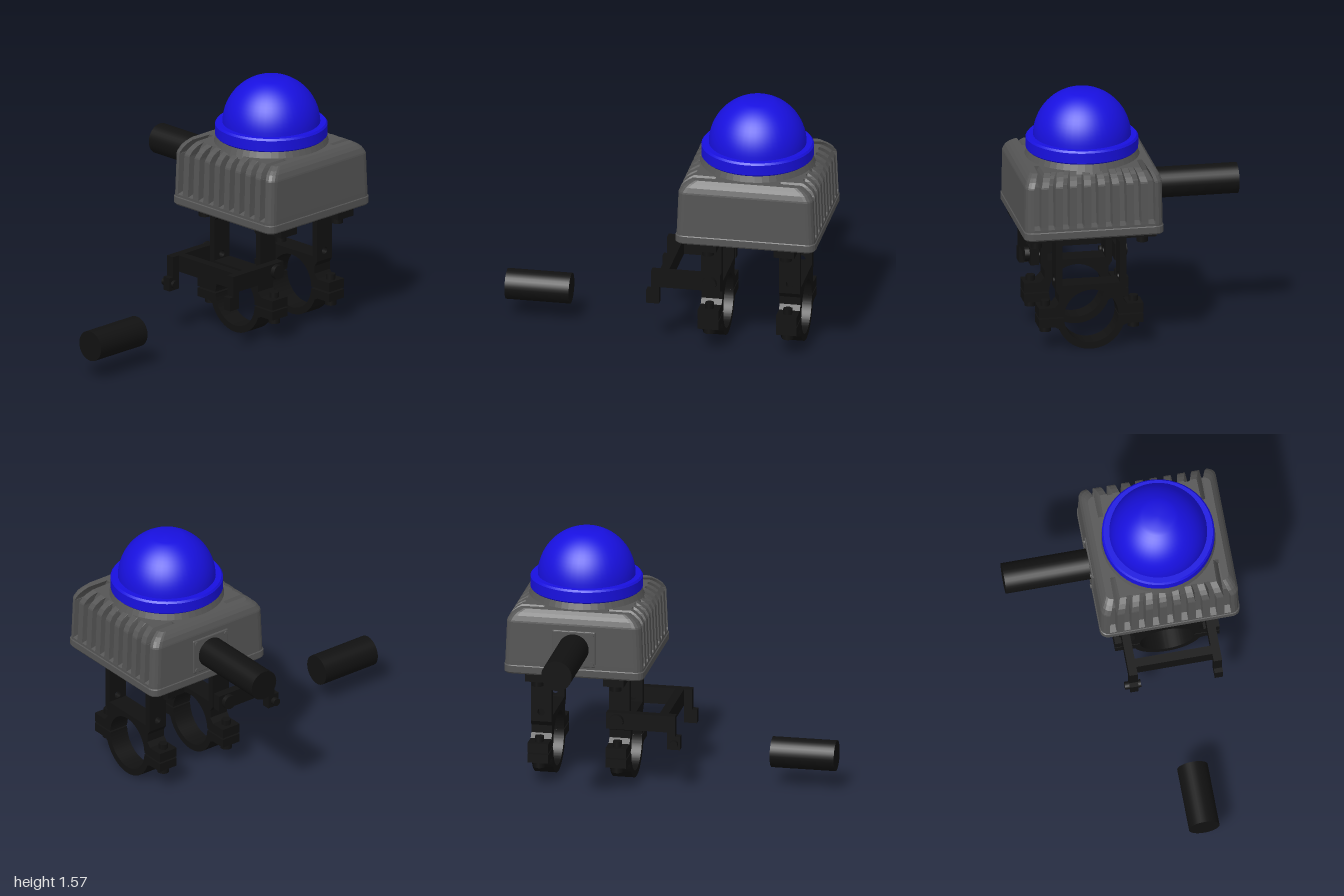
import * as THREE from 'three';
import { toCreasedNormals } from 'three/addons/utils/BufferGeometryUtils.js';
import { RoundedBoxGeometry } from 'three/addons/geometries/RoundedBoxGeometry.js';

const CX = 0.56, CZ = 0.265; // vertical axis of the housing and dome
const grey = new THREE.MeshStandardMaterial({ color: 0x555555, flatShading: true });
const black = new THREE.MeshStandardMaterial({ color: 0x111111 });
const blue = new THREE.MeshStandardMaterial({ color: 0x1810e0 });

function add(parent, name, geometry, material, x = 0, y = 0, z = 0) {
  const mesh = new THREE.Mesh(geometry, material);
  mesh.name = name;
  mesh.position.set(x, y, z);
  parent.add(mesh);
  return mesh;
}

const box = (parent, name, x0, x1, y0, y1, z0, z1, mat = black) =>
  add(parent, name, new THREE.BoxGeometry(x1 - x0, y1 - y0, z1 - z0), mat, (x0 + x1) / 2, (y0 + y1) / 2, (z0 + z1) / 2);

function rod(parent, name, axis, r, length, x, y, z, sides = 24, mat = black) {
  const g = new THREE.CylinderGeometry(r, r, length, sides);
  if (axis === 'x') g.rotateZ(Math.PI / 2);
  if (axis === 'z') g.rotateX(Math.PI / 2);
  return add(parent, name, g, mat, x, y, z);
}

const lathe = (points, segments = 48) =>
  toCreasedNormals(new THREE.LatheGeometry(points.map(p => new THREE.Vector2(...p)), segments), 0.5);

// Horizontal section of the housing: rounded rectangle with nine slots per side
function section({ hx, hz, r, floor, endFloor }) {
  const half = [], s = (hz - r) / 0.38, w = 0.022;
  for (let i = 0; i < 9; i++) {
    const zc = (i - 4) * 0.089;
    const f = Math.min(hx, i % 8 === 0 ? endFloor : floor);
    half.push([hx, (zc - w) * s], [f, (zc - w * 0.8) * s], [f, (zc + w * 0.8) * s], [hx, (zc + w) * s]);
  }
  for (const side of [1, -1]) {
    for (let k = 0; k <= 4; k++) {
      const a = (k / 4 + (side < 0 ? 1 : 0)) * Math.PI / 2;
      half.push([side * (hx - r) + r * Math.cos(a), hz - r + r * Math.sin(a)]);
    }
  }
  return [...half, ...half.map(([x, z]) => [-x, -z])];
}

function housingGeometry() {
  // y, half width, half depth, corner radius, slot floor, end slot floor
  const levels = [
    [0.76, 0.43, 0.428, 0.05, 1, 1],
    [0.77, 0.437, 0.435, 0.05, 1, 1],
    [0.81, 0.437, 0.435, 0.05, 1, 1],
    [0.815, 0.432, 0.43, 0.05, 1, 1],
    [0.83, 0.432, 0.43, 0.05, 1, 1],
    [0.845, 0.431, 0.43, 0.05, 0.385, 0.385],
    [1.09, 0.421, 0.427, 0.05, 0.355, 0.37],
    [1.1, 0.418, 0.425, 0.05, 0.352, 0.2],
    [1.13, 0.4, 0.414, 0.05, 0.345, 0.2],
    [1.15, 0.375, 0.4, 0.045, 0.338, 0.2],
    [1.17, 0.34, 0.382, 0.04, 0.332, 0.2],
  ];
  const rings = levels.map(([y, hx, hz, r, floor, endFloor]) => section({ hx, hz, r, floor, endFloor }));
  const n = rings[0].length, pos = [], idx = [];
  rings.forEach((ring, l) => ring.forEach(([x, z]) => pos.push(x, levels[l][0], z)));
  for (let l = 0; l < rings.length - 1; l++) {
    for (let i = 0; i < n; i++) {
      const a = l * n + i, b = l * n + (i + 1) % n;
      idx.push(a, a + n, b, b, a + n, b + n);
    }
  }
  const cap = ring => THREE.ShapeUtils.triangulateShape(ring.map(p => new THREE.Vector2(...p)), []);
  const top = (rings.length - 1) * n;
  cap(rings[0]).forEach(([a, b, c]) => idx.push(a, b, c));
  cap(rings[rings.length - 1]).forEach(([a, b, c]) => idx.push(top + a, top + c, top + b));
  const g = new THREE.BufferGeometry();
  g.setAttribute('position', new THREE.Float32BufferAttribute(pos, 3));
  g.setIndex(idx);
  g.computeVertexNormals();
  return g;
}

// Extrudes a (z, y) shape along x, centred
function extrudeX(shape, width) {
  const g = new THREE.ExtrudeGeometry(shape, { depth: width, bevelEnabled: false, curveSegments: 32 });
  g.translate(0, 0, -width / 2).rotateY(-Math.PI / 2);
  return toCreasedNormals(g, 0.5);
}

function upperClampShape() {
  const side = [[0.165, 0.42], [0.22, 0.42], [0.22, 0.39], [0.2, 0.36], [0.2, 0.31], [0.225, 0.28], [0.325, 0.28], [0.325, 0.22]];
  const s = new THREE.Shape();
  s.moveTo(-0.17, 0.22);
  [...side].reverse().forEach(([u, y]) => s.lineTo(-u, y));
  side.forEach(([u, y]) => s.lineTo(u, y));
  s.lineTo(0.17, 0.22);
  s.absarc(0, 0.215, 0.17, 0.03, Math.PI - 0.03, false);
  return s;
}

function lowerClampShape() {
  const s = new THREE.Shape();
  s.moveTo(0.17, 0.21);
  s.lineTo(0.325, 0.21);
  s.lineTo(0.325, 0.155);
  s.lineTo(0.225, 0.155);
  s.absarc(0, 0.215, 0.212, -0.35, -Math.PI + 0.35, true);
  s.lineTo(-0.225, 0.155);
  s.lineTo(-0.325, 0.155);
  s.lineTo(-0.325, 0.21);
  s.lineTo(-0.17, 0.21);
  s.absarc(0, 0.215, 0.17, -Math.PI + 0.03, -0.03, false);
  return s;
}

function postGeometry() {
  const s = new THREE.Shape([[-0.065, 0.39], [0.065, 0.39], [0.065, 0.71], [-0.065, 0.71]].map(p => new THREE.Vector2(...p)));
  s.holes.push(new THREE.Path().absarc(0, 0.45, 0.023, 0, Math.PI * 2, true));
  return new THREE.ExtrudeGeometry(s, { depth: 0.04, bevelEnabled: false }).translate(0, 0, -0.02);
}

function mountLeg(x) {
  const leg = new THREE.Group();
  leg.name = 'mountLeg';
  leg.position.set(x, 0, CZ);
  box(leg, 'mountPlate', -0.065, 0.065, 0.705, 0.76, -0.405, 0.405);
  add(leg, 'upperClamp', extrudeX(upperClampShape(), 0.13), black);
  add(leg, 'lowerClamp', extrudeX(lowerClampShape(), 0.13), black);
  for (const s of [-1, 1]) {
    add(leg, 'post', postGeometry(), black, 0, 0, s * 0.2);
    const gusset = new THREE.Shape([[0.181, 0.71], [0.155, 0.71], [0.181, 0.68]].map(([u, y]) => new THREE.Vector2(s * u, y)));
    add(leg, 'gusset', extrudeX(gusset, 0.13), black);
    rod(leg, 'plateBolt', 'y', 0.037, 0.05, 0, 0.685, s * 0.33, 16);
    rod(leg, 'clampBolt', 'y', 0.036, 0.04, 0, 0.137, s * 0.275, 16);
    rod(leg, 'clampShank', 'y', 0.02, 0.1, 0, 0.215, s * 0.275, 12);
    rod(leg, 'clampNut', 'y', 0.03, 0.04, 0, 0.295, s * 0.275, 6);
  }
  return leg;
}

function sideBracket() {
  const g = new THREE.Group();
  g.name = 'sideBracket';
  for (const [z, out] of [[0.0, -1], [0.525, 1]]) {
    box(g, 'arm', -0.05, 0.38, 0.395, 0.5, z - 0.026, z + 0.026);
    box(g, 'hookNeck', -0.05, 0, 0.33, 0.4, z - 0.026, z + 0.026);
    box(g, 'hook', -0.08, 0, 0.285, 0.37, z - 0.026, z + 0.026);
    rod(g, 'armBolt', 'z', 0.045, 0.035, 0.315, 0.45, z + out * 0.038, 16);
  }
  box(g, 'crossbar', 0, 0.055, 0.395, 0.5, 0, 0.525);
  rod(g, 'hookScrew', 'z', 0.025, 0.1, -0.045, 0.325, -0.005, 12);
  return g;
}

export function createModel() {
  const model = new THREE.Group();
  model.name = 'sensorUnit';

  // Finned housing with its neck
  add(model, 'housing', housingGeometry(), grey, CX, 0, CZ);
  add(model, 'housingNeck', new THREE.CylinderGeometry(0.335, 0.36, 0.06, 48), grey, CX, 1.18, CZ);

  // Dome and its collar
  add(model, 'domeCollar', lathe([[0, 1.205], [0.335, 1.205], [0.345, 1.215], [0.345, 1.28], [0.335, 1.292], [0.29, 1.292]]), blue, CX, 0, CZ);
  const arc = [];
  const end = Math.acos(0.1 / 0.3);
  for (let i = 0; i <= 14; i++) {
    const a = end * i / 14;
    arc.push([0.3 * Math.cos(a), 1.287 + 0.3 * Math.sin(a)]);
  }
  add(model, 'dome', lathe([...arc, [0, 1.573]]), blue, CX, 0, CZ);

  // Rear connector panel and cable
  add(model, 'connectorPanel', new RoundedBoxGeometry(0.27, 0.23, 0.02, 2, 0.008), grey, 0.555, 0.945, -0.162);
  for (const sx of [-1, 1]) for (const sy of [-1, 1])
    rod(model, 'panelScrew', 'z', 0.014, 0.012, 0.555 + sx * 0.112, 0.945 + sy * 0.093, -0.174, 10, grey);
  rod(model, 'rearCable', 'z', 0.095, 0.54, 0.555, 0.945, -0.43, 32);

  // Pipe clamps, side bracket and the separate rod
  model.add(mountLeg(0.313), mountLeg(0.8), sideBracket());
  rod(model, 'looseRod', 'x', 0.095, 0.4, -0.8, 0.215, CZ, 32);
  return model;
}
